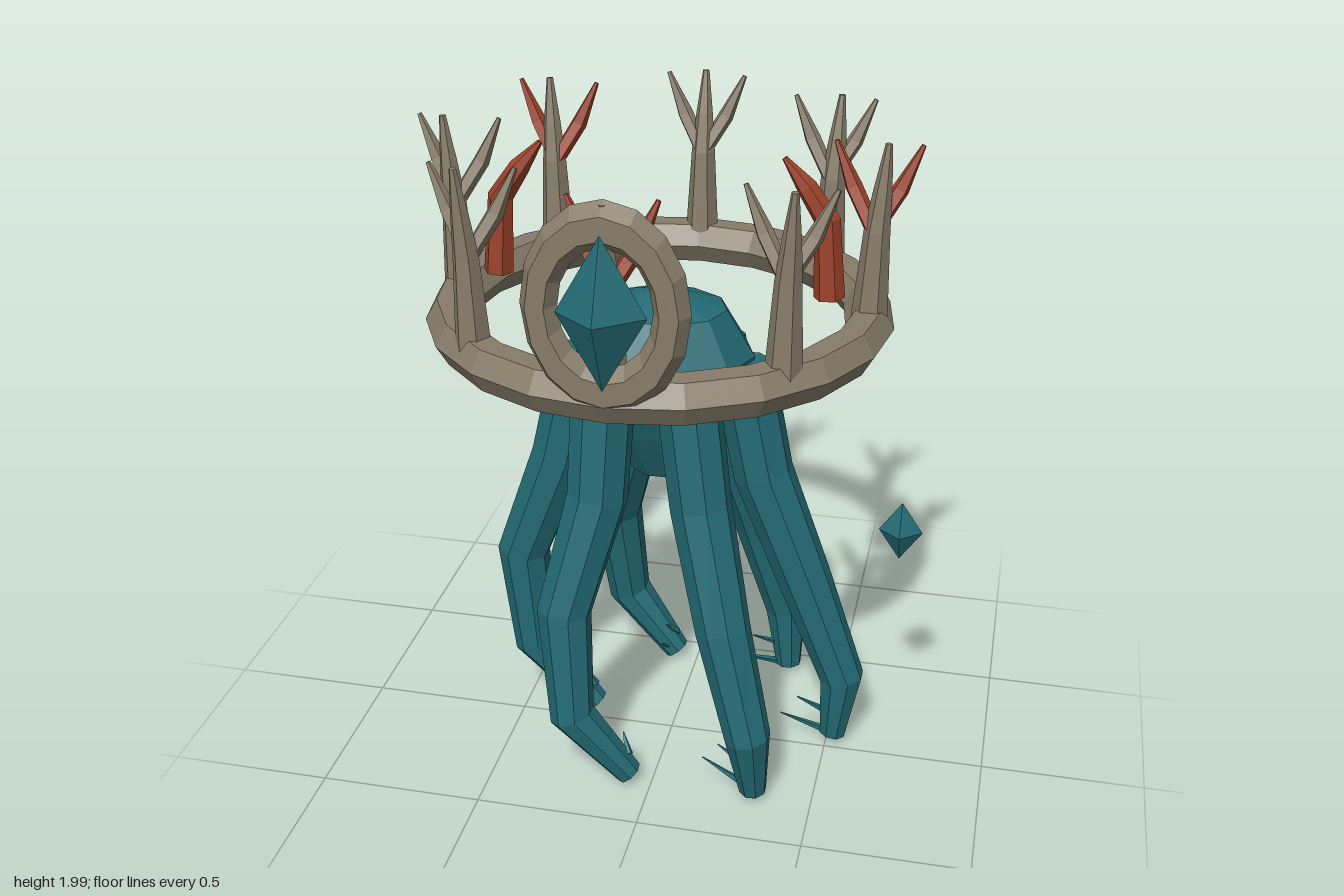
import * as THREE from 'three';

const mat = (name, color) => {
  const m = new THREE.MeshStandardMaterial({ color, flatShading: true });
  m.name = name;
  return m;
};

// Faceted tapering limb: points run from bottom to top as [x, y, z, radius]
function limbGeometry(points, sides, flatTop = false) {
  const centres = points.map(p => new THREE.Vector3(p[0], p[1], p[2]));
  const up = new THREE.Vector3(0, 1, 0);
  const n = points.length;
  const pos = [], index = [];
  for (let i = 0; i < n; i++) {
    const before = centres[Math.max(i - 1, 0)], after = centres[Math.min(i + 1, n - 1)];
    const dir = flatTop && i === n - 1 ? up.clone() : after.clone().sub(before).normalize();
    const q = new THREE.Quaternion().setFromUnitVectors(up, dir);
    for (let s = 0; s < sides; s++) {
      const a = (s + 0.5) / sides * Math.PI * 2, r = points[i][3];
      const v = new THREE.Vector3(Math.sin(a) * r, 0, Math.cos(a) * r).applyQuaternion(q).add(centres[i]);
      pos.push(v.x, v.y, v.z);
    }
  }
  for (let i = 0; i < n - 1; i++) {
    for (let s = 0; s < sides; s++) {
      const t = (s + 1) % sides;
      const a = i * sides + s, b = i * sides + t, c = a + sides, d = b + sides;
      index.push(a, b, d, a, d, c);
    }
  }
  for (let s = 1; s < sides - 1; s++) {
    const top = (n - 1) * sides;
    index.push(0, s + 1, s, top, top + s, top + s + 1);
  }
  const g = new THREE.BufferGeometry();
  g.setAttribute('position', new THREE.Float32BufferAttribute(pos, 3));
  g.setIndex(index);
  g.computeVertexNormals();
  return g;
}

export function createModel() {
  const teal = mat('deep teal', 0x236a74);
  const bone = mat('weathered bone', 0x877c69);
  const rust = mat('rust red', 0x9c4128);
  const model = new THREE.Group();
  const CX = -0.045, CZ = -0.05;

  const add = (name, geometry, material, parent = model) => {
    const mesh = new THREE.Mesh(geometry, material);
    mesh.name = name;
    parent.add(mesh);
    return mesh;
  };

  // Faceted head, slightly flattened front to back
  const profile = [[0, 0.885], [0.1, 0.92], [0.2, 1.08], [0.26, 1.2], [0.275, 1.31], [0.19, 1.45], [0, 1.51]]
    .map(p => new THREE.Vector2(...p));
  const head = add('head', new THREE.LatheGeometry(profile, 10, Math.PI / 10), teal);
  head.scale.z = 0.84;
  head.position.set(CX, 0, -0.09);

  // Six hanging tentacles: rows from tip to root
  const levels = [0.035, 0.25, 0.59, 0.95, 1.3];
  const radii = [0.042, 0.07, 0.083, 0.092, 0.095];
  const tentacles = [
    { name: 'leftSideTentacle', x: [0.52, 0.54, 0.41, 0.27, 0.2], z: [-0.045, -0.05, -0.055, -0.055, -0.055] },
    { name: 'rightSideTentacle', x: [-0.265, -0.465, -0.495, -0.36, -0.28], z: [-0.045, -0.05, -0.055, -0.055, -0.055] },
    { name: 'frontLeftTentacle', x: [0.32, 0.305, 0.215, 0.13, 0.08], z: [0.3, 0.33, 0.28, 0.2, 0.16] },
    { name: 'frontRightTentacle', x: [-0.07, -0.24, -0.27, -0.18, -0.165], z: [0.3, 0.33, 0.28, 0.2, 0.16] },
    { name: 'backLeftTentacle', x: [0.32, 0.305, 0.215, 0.13, 0.08], z: [-0.41, -0.425, -0.38, -0.285, -0.245] },
    { name: 'backRightTentacle', x: [-0.07, -0.24, -0.27, -0.18, -0.165], z: [-0.41, -0.425, -0.38, -0.285, -0.245] },
  ];
  for (const t of tentacles) {
    const group = new THREE.Group();
    group.name = t.name;
    model.add(group);
    add('tentacle', limbGeometry(levels.map((y, i) => [t.x[i], y, t.z[i], radii[i]]), 8, true), teal, group);
    // Thin barbs curling in from the tip
    const reach = t.x[0] > 0 ? 0.17 : 0.04;
    const inZ = -Math.sign(t.z[0] - CZ) * (Math.abs(t.z[0] - CZ) > 0.1 ? 0.06 : 0);
    for (const [lift, k] of [[0, 1], [0.07, 0.7]]) {
      add('barb', limbGeometry([
        [t.x[0], 0.035 + lift, t.z[0], 0.014],
        [t.x[0] - reach * k, 0.085 + lift, t.z[0] + inZ * k, 0.002],
      ], 4), teal, group);
    }
  }

  // Crown band
  const band = add('crownBand', new THREE.TorusGeometry(0.61, 0.07, 6, 20), bone);
  band.rotation.x = Math.PI / 2;
  band.position.set(CX, 1.45, CZ);

  // Eight antlers around the band, three with red branches
  const redBranches = [0, 2, 5];
  for (let i = 0; i < 8; i++) {
    const a = i * Math.PI / 4, ox = Math.sin(a), oz = Math.cos(a);
    const x = CX + ox * 0.605, z = CZ + oz * 0.605;
    const antler = new THREE.Group();
    antler.name = 'antler';
    model.add(antler);
    add('trunk', limbGeometry([
      [x, 1.43, z, 0.055],
      [x + ox * 0.01, 1.74, z + oz * 0.01, 0.037],
      [x + ox * 0.02, 1.86, z + oz * 0.025, 0.026],
      [x + ox * 0.03, 1.99, z + oz * 0.045, 0.01],
    ], 6), bone, antler);
    for (const side of [-1, 1]) {
      add('branch', limbGeometry([
        [x, 1.74, z, 0.024],
        [x + side * 0.065, 1.85, z - 0.04, 0.025],
        [x + side * 0.12, 1.975, z - 0.055, 0.007],
      ], 5), redBranches.includes(i) ? rust : bone, antler);
    }
  }

  // Two loose red horns floating inside the band
  for (const side of [-1, 1]) {
    const x = CX + side * 0.475;
    add('innerHorn', limbGeometry([
      [x + side * 0.015, 1.53, -0.055, 0.045],
      [x, 1.76, -0.055, 0.038],
      [x - side * 0.06, 1.85, -0.055, 0.03],
      [x - side * 0.125, 1.93, -0.055, 0.008],
    ], 6), rust);
  }

  // Oval frame on the front of the crown
  const frame = add('gemFrame', new THREE.TorusGeometry(0.175, 0.05, 6, 16), bone);
  frame.scale.y = 1.29;
  frame.position.set(CX, 1.71, 0.59);

  // Cut gems
  const gem = (name, x, y, z, rx, ry, rz) => {
    const g = add(name, new THREE.OctahedronGeometry(1), teal);
    g.scale.set(rx, ry, rz);
    g.position.set(x, y, z);
  };
  gem('crownGem', CX, 1.71, 0.635, 0.12, 0.21, 0.095);
  gem('floatingGem', 0.695, 0.815, -0.02, 0.065, 0.095, 0.052);

  return model;
}
